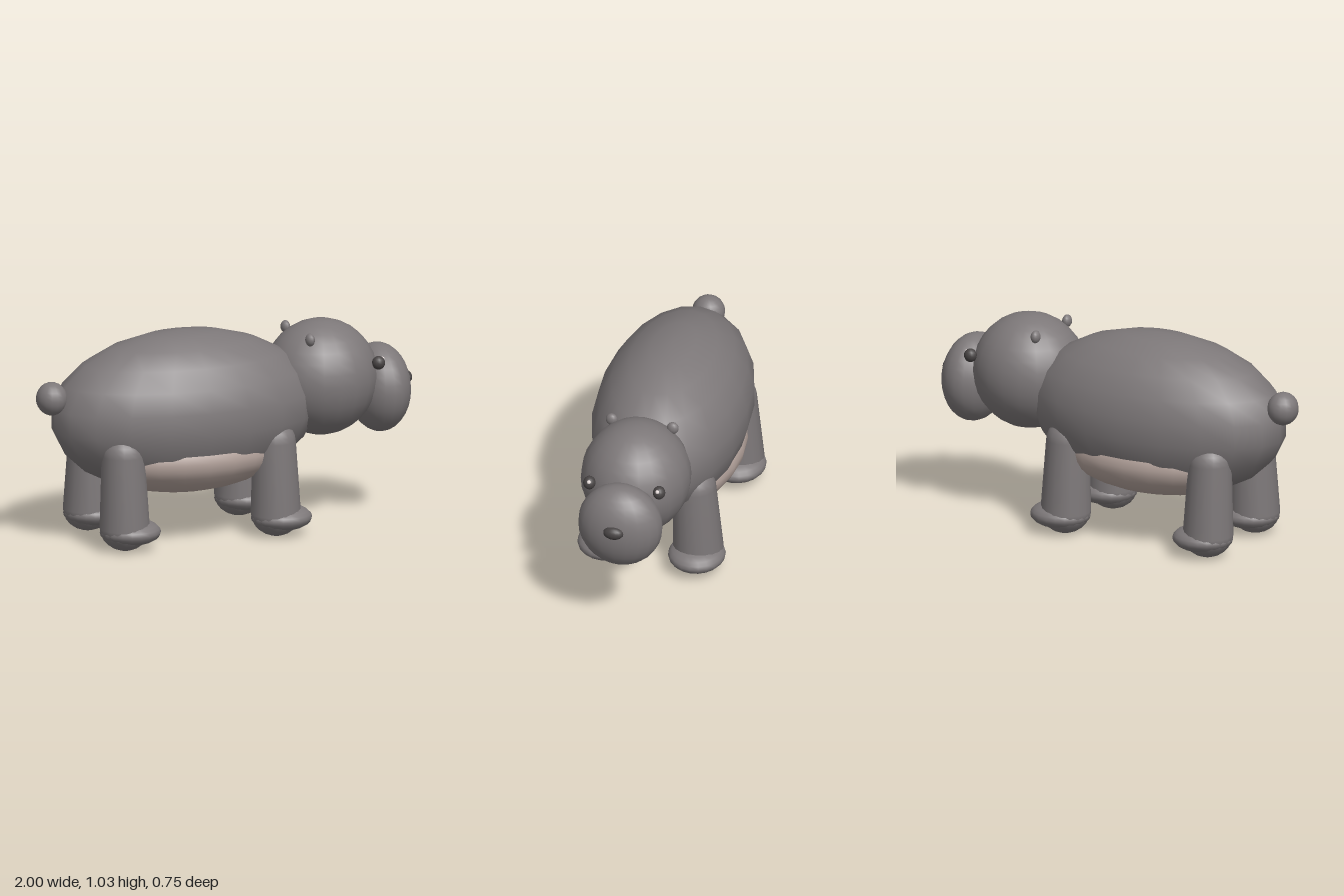
import * as THREE from 'three';

const mat = (name, color) => {
  const m = new THREE.MeshStandardMaterial({ color });
  m.name = name;
  return m;
};

export function createModel() {
  const hide = mat('greyHide', 0x7d7879);
  const pale = mat('paleBelly', 0xb5a49d);
  const dark = mat('darkFeature', 0x484444);
  const shine = mat('eyeShine', 0xe6dcda);

  const model = new THREE.Group();
  model.name = 'animal';

  // Smooth ellipsoid with given centre and radii
  const blob = (parent, name, material, [x, y, z], [rx, ry, rz], w = 20, h = 14) => {
    const geo = new THREE.SphereGeometry(1, w, h);
    geo.scale(rx, ry, rz);
    // spread the normals correctly for the squashed shape
    const mesh = new THREE.Mesh(geo, material);
    mesh.name = name;
    mesh.position.set(x, y, z);
    parent.add(mesh);
    return mesh;
  };

  // Torso, belly and tail
  blob(model, 'body', hide, [-0.22, 0.63, 0], [0.695, 0.405, 0.38], 20, 11);
  blob(model, 'belly', pale, [-0.22, 0.43, 0], [0.52, 0.2, 0.357], 24, 16);
  blob(model, 'tail', hide, [-0.923, 0.75, 0], [0.077, 0.083, 0.082], 16, 12);

  // Head, facing +x
  const head = new THREE.Group();
  head.name = 'head';
  model.add(head);
  blob(head, 'skull', hide, [0.515, 0.73, 0], [0.265, 0.29, 0.272], 20, 16);
  head.children[0].scale.x = 1.08;
  blob(head, 'snout', hide, [0.825, 0.648, 0], [0.15, 0.222, 0.212], 20, 16);
  blob(head, 'nose', dark, [0.967, 0.686, 0], [0.032, 0.033, 0.051], 16, 10);
  for (const s of [1, -1]) {
    const side = s > 0 ? 'Left' : 'Right';
    blob(head, 'ear' + side, hide, [0.393, 0.957, -s * 0.155], [0.023, 0.032, 0.03], 12, 10);
    blob(head, 'eye' + side, dark, [0.75, 0.813, -s * 0.177], [0.033, 0.034, 0.031], 14, 10);
    blob(head, 'eyeShine' + side, shine, [0.772, 0.83, -s * 0.174], [0.011, 0.011, 0.011], 8, 6);
  }

  // Legs: rounded tapering columns leaning inwards, each on a wide foot
  const profile = [];
  for (let i = 0; i <= 6; i++) {
    const a = (i / 6) * Math.PI / 2;
    profile.push(new THREE.Vector2(0.125 * Math.sin(a), 0.12 - 0.112 * Math.cos(a)));
  }
  for (let i = 0; i <= 6; i++) {
    const a = (i / 6) * Math.PI / 2;
    profile.push(new THREE.Vector2(0.107 * Math.cos(a), 0.48 + 0.105 * Math.sin(a)));
  }
  profile[0].x = profile[profile.length - 1].x = 0;
  const legGeo = new THREE.LatheGeometry(profile, 18);
  const p = legGeo.attributes.position;
  for (let i = 0; i < p.count; i++) {
    p.setZ(i, p.getZ(i) - 0.055 * (p.getY(i) - 0.12));
  }

  for (const [end, x] of [['front', 0.178], ['back', -0.63]]) {
    for (const s of [1, -1]) {
      const leg = new THREE.Group();
      leg.name = end + 'Leg' + (s > 0 ? 'Left' : 'Right');
      leg.position.set(x, 0, s * 0.23);
      if (s < 0) leg.rotation.y = Math.PI;
      const column = new THREE.Mesh(legGeo, hide);
      column.name = 'legColumn';
      leg.add(column);
      blob(leg, 'foot', hide, [s * 0.03, 0.097, 0], [0.153, 0.065, 0.142], 20, 12);
      model.add(leg);
    }
  }
  return model;
}
